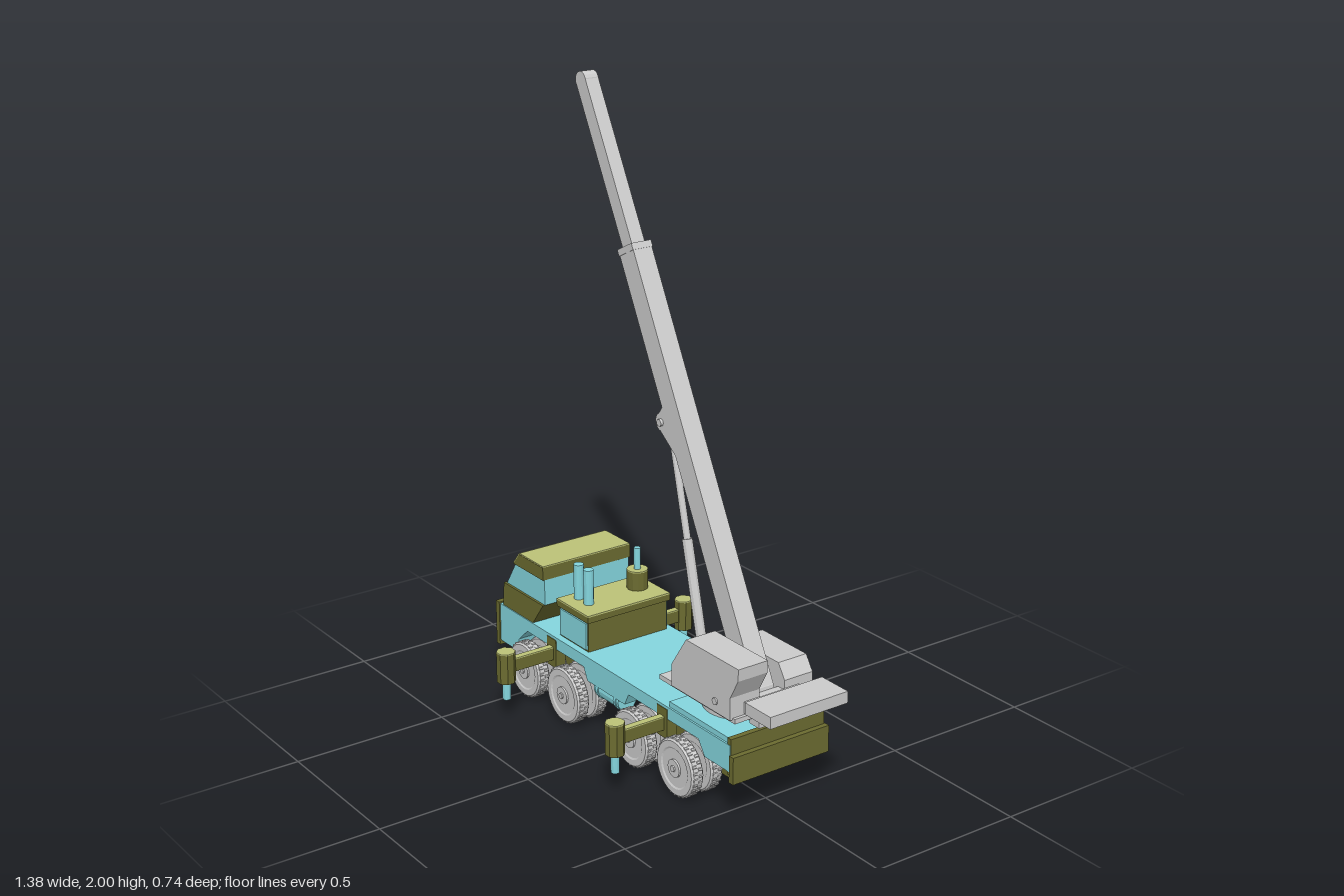
import * as THREE from 'three';

const mat = (color) => new THREE.MeshStandardMaterial({ color, flatShading: true });

export function createModel() {
  const root = new THREE.Group();
  const grey = mat(0xcccccc), teal = mat(0x84d6de), olive = mat(0x6b6b30), lightOlive = mat(0xbcc278);

  const add = (name, geo, m, x = 0, y = 0, z = 0, parent = root) => {
    const mesh = new THREE.Mesh(geo, m);
    mesh.name = name;
    mesh.position.set(x, y, z);
    parent.add(mesh);
    return mesh;
  };
  // box given by its limits
  const box = (name, m, x0, x1, y0, y1, z0, z1) =>
    add(name, new THREE.BoxGeometry(x1 - x0, y1 - y0, z1 - z0), m, (x0 + x1) / 2, (y0 + y1) / 2, (z0 + z1) / 2);
  // side profile extruded across the vehicle
  const prism = (name, m, pts, z0, z1) => {
    const shape = new THREE.Shape(pts.map((p) => new THREE.Vector2(...p)));
    return add(name, new THREE.ExtrudeGeometry(shape, { depth: z1 - z0, bevelEnabled: false }), m, 0, 0, z0);
  };
  // upright cylinder
  const post = (name, m, x, z, y0, y1, r, n = 12) =>
    add(name, new THREE.CylinderGeometry(r, r, y1 - y0, n), m, x, (y0 + y1) / 2, z);
  // cylinder across the vehicle
  const pin = (name, m, x, y, z0, z1, r, n = 16) => {
    const c = add(name, new THREE.CylinderGeometry(r, r, z1 - z0, n), m, x, y, (z0 + z1) / 2);
    c.rotation.x = Math.PI / 2;
    return c;
  };
  // bar or tube between two points in the side plane
  const link = (name, m, geoOf, a, b) => {
    const dx = b[0] - a[0], dy = b[1] - a[1];
    const o = add(name, geoOf(Math.hypot(dx, dy)), m, (a[0] + b[0]) / 2, (a[1] + b[1]) / 2, 0);
    o.rotation.z = Math.atan2(-dx, dy);
    return o;
  };

  // Carrier body
  prism('carrierBody', teal, [
    [-0.675, 0.115], [-0.57, 0.115], [-0.56, 0.16], [-0.51, 0.205], [-0.19, 0.205], [-0.17, 0.165],
    [0.03, 0.165], [0.05, 0.205], [0.4, 0.205], [0.43, 0.16], [0.55, 0.16], [0.55, 0.245], [-0.675, 0.245],
  ], -0.171, 0.171);
  box('rearDeck', teal, 0.25, 0.535, 0.245, 0.262, -0.165, 0.165);
  box('frontBumper', olive, -0.69, -0.67, 0.1, 0.25, -0.175, 0.175);
  box('rearBumper', olive, 0.55, 0.57, 0.13, 0.215, -0.175, 0.175);
  box('rearPanel', olive, 0.535, 0.553, 0.15, 0.265, -0.17, 0.17);
  box('frontBelly', olive, -0.565, -0.17, 0.05, 0.205, -0.066, 0.066);
  box('rearBelly', olive, 0.03, 0.44, 0.05, 0.205, -0.066, 0.066);
  box('centreSpine', olive, -0.18, 0.04, 0.12, 0.17, -0.066, 0.066);

  // Cab
  prism('cabBase', olive, [[-0.655, 0.25], [-0.65, 0.325], [-0.42, 0.325], [-0.48, 0.245], [-0.655, 0.245]], -0.168, 0.168);
  prism('cabWindows', teal, [[-0.642, 0.325], [-0.42, 0.325], [-0.42, 0.41], [-0.588, 0.41]], -0.16, 0.16);
  prism('cabRoof', olive, [[-0.592, 0.41], [-0.42, 0.41], [-0.42, 0.453], [-0.557, 0.453]], -0.166, 0.166);
  box('roofPanel', lightOlive, -0.555, -0.42, 0.452, 0.457, -0.165, 0.165);
  const visor = box('roofVisor', lightOlive, -0.603, -0.548, 0.431, 0.435, -0.165, 0.165);
  visor.rotation.z = Math.atan2(0.043, 0.035);
  for (const s of [-1, 1]) box('headlamp', teal, -0.667, -0.645, 0.26, 0.31, s * 0.1 - 0.036, s * 0.1 + 0.036);

  // Engine housing with exhausts
  box('engineHousing', olive, -0.35, -0.195, 0.245, 0.345, -0.148, 0.148);
  for (const s of [-1, 1]) box('enginePanel', teal, -0.345, -0.2, 0.252, 0.34, s * 0.15 - 0.004, s * 0.15 + 0.004);
  box('engineLid', olive, -0.36, -0.187, 0.345, 0.365, -0.155, 0.155);
  box('engineLidTop', lightOlive, -0.36, -0.187, 0.365, 0.37, -0.155, 0.155);
  post('airFilter', olive, -0.283, -0.098, 0.37, 0.43, 0.034);
  post('filterCap', lightOlive, -0.283, -0.098, 0.43, 0.434, 0.034);
  post('filterPipe', teal, -0.283, -0.098, 0.43, 0.505, 0.011);
  for (const x of [-0.32, -0.266]) post('exhaust', teal, x, 0.098, 0.37, 0.485, 0.016);

  // Side tanks
  for (const s of [-1, 1]) {
    const tank = add('sideTank', new THREE.CylinderGeometry(0.034, 0.034, 0.13, 16), teal, -0.073, 0.153, s * 0.135);
    tank.rotation.z = Math.PI / 2;
    for (const x of [-0.12, -0.026]) {
      const strap = add('tankStrap', new THREE.CylinderGeometry(0.037, 0.037, 0.012, 16), teal, x, 0.153, s * 0.135);
      strap.rotation.z = Math.PI / 2;
    }
  }

  // Wheels: twin tyres with lugged tread and a hub on each station
  const lugs = new THREE.Shape();
  const teeth = 28;
  for (let i = 0; i < teeth * 4; i++) {
    const a = ((i + 0.5) / (teeth * 4)) * Math.PI * 2, r = i % 4 < 2 ? 0.092 : 0.087;
    lugs[i ? 'lineTo' : 'moveTo'](r * Math.cos(a), r * Math.sin(a));
  }
  const lugGeo = new THREE.ExtrudeGeometry(lugs, { depth: 0.014, bevelEnabled: false });
  const tyreGeo = new THREE.LatheGeometry([
    [0, -0.018], [0.06, -0.018], [0.065, -0.021], [0.084, -0.021], [0.09, -0.015],
    [0.09, 0.015], [0.084, 0.021], [0.065, 0.021], [0.06, 0.018], [0, 0.018],
  ].map((p) => new THREE.Vector2(...p)), 32).rotateX(Math.PI / 2);
  for (const x of [-0.473, -0.25, 0.11, 0.337]) {
    pin('axle', grey, x, 0.095, -0.19, 0.19, 0.02);
    for (const s of [-1, 1]) {
      const wheel = new THREE.Group();
      wheel.name = 'wheel';
      wheel.position.set(x, 0.095, 0);
      root.add(wheel);
      for (const z of [0.19, 0.121]) {
        add('tyre', tyreGeo, grey, 0, 0, s * z, wheel);
        add('tread', lugGeo, grey, 0, 0, s * z - 0.016, wheel);
        add('tread', lugGeo, grey, 0, 0, s * z + 0.002, wheel).rotation.z = Math.PI / teeth;
      }
      pin('hub', grey, x, 0.095, s * 0.208 - 0.006, s * 0.208 + 0.006, 0.028);
      pin('hubCap', grey, x, 0.095, s * 0.21 - 0.009, s * 0.21 + 0.009, 0.01, 8);
    }
  }

  // Outriggers
  for (const x of [-0.367, 0.224]) {
    box('outriggerBeam', olive, x - 0.011, x + 0.011, 0.165, 0.205, -0.34, 0.34);
    box('outriggerBeamTop', lightOlive, x - 0.011, x + 0.011, 0.205, 0.209, -0.34, 0.34);
    for (const s of [-1, 1]) {
      box('outriggerHousing', olive, x - 0.025, x + 0.025, 0.14, 0.236, s * 0.155 - 0.018, s * 0.155 + 0.018);
      post('outriggerLeg', olive, x, s * 0.341, 0.135, 0.233, 0.03, 8).rotation.y = Math.PI / 8;
      post('outriggerCap', lightOlive, x, s * 0.341, 0.233, 0.237, 0.03, 8).rotation.y = Math.PI / 8;
      post('outriggerPiston', teal, x, s * 0.341, 0.075, 0.14, 0.013);
    }
  }

  // Turntable and upper works
  post('turntable', grey, 0.378, 0, 0.255, 0.297, 0.115, 32);
  box('slewPlatform', grey, 0.167, 0.53, 0.295, 0.31, -0.14, 0.14);
  prism('operatorHousing', grey, [
    [0.24, 0.305], [0.24, 0.375], [0.31, 0.478], [0.557, 0.478], [0.555, 0.44], [0.52, 0.375], [0.52, 0.305],
  ], 0.045, 0.15);
  prism('winchHousing', grey, [
    [0.24, 0.305], [0.24, 0.37], [0.285, 0.42], [0.49, 0.42], [0.52, 0.375], [0.52, 0.305],
  ], -0.15, -0.047);
  box('counterweightArm', grey, 0.49, 0.575, 0.3, 0.345, -0.14, 0.06);
  box('counterweightStep', grey, 0.52, 0.615, 0.315, 0.35, -0.1, 0.1);
  box('counterweightFoot', grey, 0.52, 0.565, 0.278, 0.315, -0.08, 0.08);
  box('counterweight', grey, 0.575, 0.69, 0.345, 0.382, -0.14, 0.14);

  // Telescopic boom
  const foot = [0.452, 0.34], joint = [-0.153, 1.525], tip = [-0.388, 1.972];
  link('mainBoom', grey, (l) => new THREE.BoxGeometry(0.076, l, 0.066), foot, joint);
  link('innerBoom', grey, (l) => new THREE.BoxGeometry(0.052, l, 0.046), [-0.1, 1.42], tip);
  link('boomCollar', grey, (l) => new THREE.BoxGeometry(0.08, l, 0.07), [-0.144, 1.507], joint);
  pin('boomHead', grey, ...tip, -0.023, 0.023, 0.027);
  pin('boomFoot', grey, ...foot, -0.033, 0.033, 0.038);
  pin('boomPivot', grey, ...foot, -0.155, 0.155, 0.011);

  // Luffing ram
  const ramFoot = [0.202, 0.322], ramHead = [0.027, 1.035];
  const mid = [0.112, 0.69];
  link('ramCylinder', grey, (l) => new THREE.CylinderGeometry(0.016, 0.016, l, 12), ramFoot, mid);
  link('ramRod', grey, (l) => new THREE.CylinderGeometry(0.011, 0.011, l, 12), mid, ramHead);
  pin('ramHeadPin', grey, ...ramHead, -0.042, 0.042, 0.011);
  pin('ramFootPin', grey, ...ramFoot, -0.04, 0.04, 0.011);
  for (const s of [-1, 1]) {
    const z0 = s * 0.027 - 0.006, z1 = s * 0.027 + 0.006;
    pin('ramHeadLug', grey, ...ramHead, z0, z1, 0.028);
    prism('ramHeadBracket', grey, [[0.015, 1.06], [0.02, 1.01], [0.1, 0.95], [0.05, 1.11]], z0, z1);
    prism('ramFootBracket', grey, [[0.172, 0.305], [0.24, 0.305], [0.217, 0.345], [0.202, 0.352], [0.185, 0.345]], z0, z1);
  }
  return root;
}
